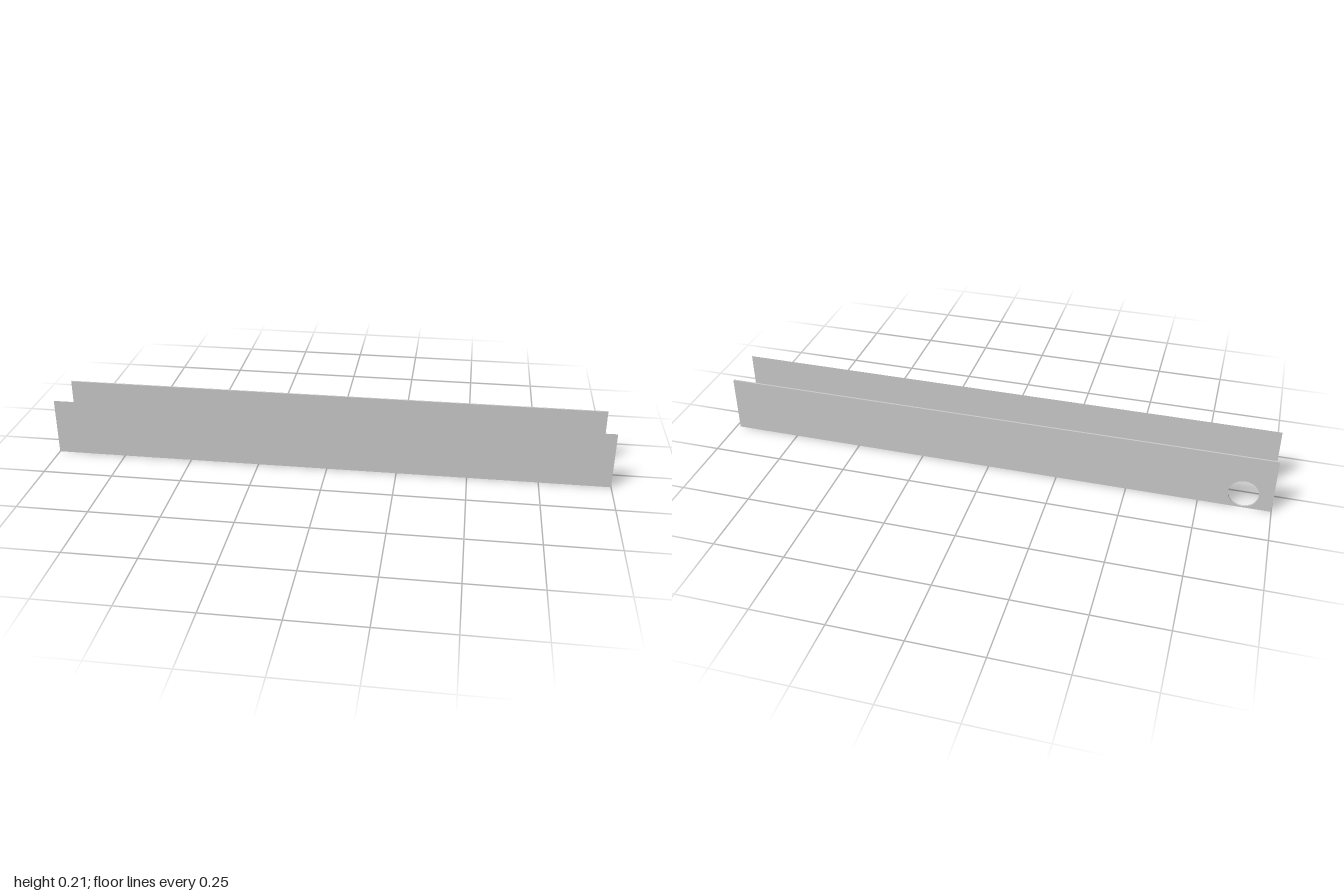
import * as THREE from 'three';

const HEIGHT = 0.206;

export function createModel() {
  const group = new THREE.Group();

  // Thin sheet at the front
  const frontPanel = new THREE.Mesh(
    new THREE.PlaneGeometry(2, HEIGHT),
    new THREE.MeshStandardMaterial({ color: 0xcccccc, side: THREE.DoubleSide })
  );
  frontPanel.name = 'frontPanel';
  frontPanel.position.set(0, HEIGHT / 2, 0.092);
  group.add(frontPanel);

  // Thicker board at the back, slightly shorter, with a round hole near its lower -x corner
  const outline = new THREE.Shape();
  outline.moveTo(-1, 0);
  outline.lineTo(0.985, 0);
  outline.lineTo(0.985, HEIGHT);
  outline.lineTo(-1, HEIGHT);
  outline.closePath();
  const hole = new THREE.Path();
  hole.absarc(-0.9, 0.057, 0.052, 0, Math.PI * 2, true);
  outline.holes.push(hole);

  const backPanel = new THREE.Mesh(
    new THREE.ExtrudeGeometry(outline, { depth: 0.006, bevelEnabled: false, curveSegments: 32 }),
    new THREE.MeshStandardMaterial({ color: 0xcccccc })
  );
  backPanel.name = 'backPanel';
  backPanel.position.z = -0.092;
  group.add(backPanel);

  return group;
}
